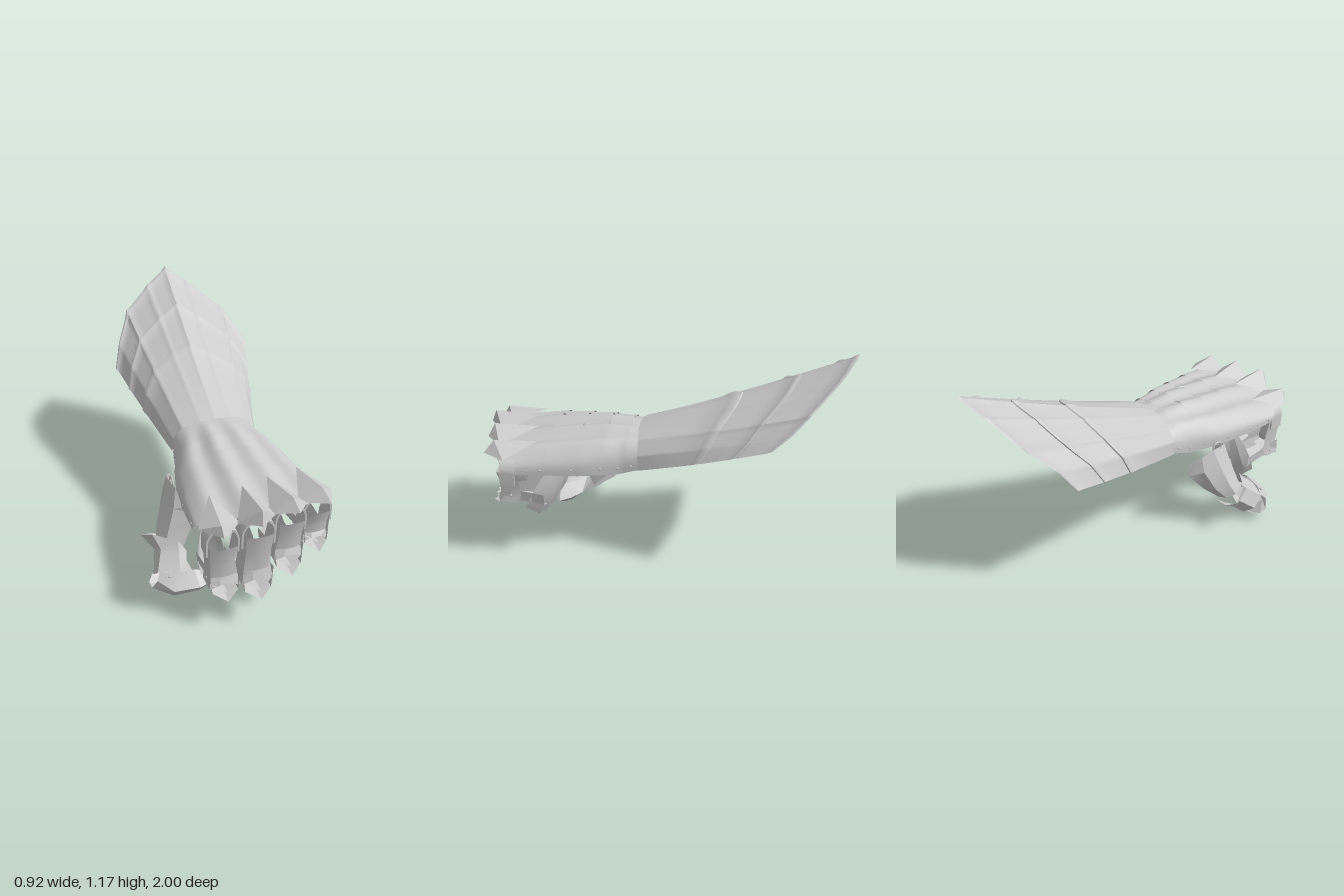
import * as THREE from 'three';
import { toCreasedNormals } from 'three/addons/utils/BufferGeometryUtils.js';

const steel = new THREE.MeshStandardMaterial({ color: 0xcccccc, side: THREE.DoubleSide });
const lerp = THREE.MathUtils.lerp;

function add(parent, name, geometry) {
  const mesh = new THREE.Mesh(geometry, steel);
  mesh.name = name;
  parent.add(mesh);
  return mesh;
}

// Skin a sheet over rows of [x, y, z] points
function loft(rows, crease = 0.4) {
  const n = rows[0].length, index = [];
  for (let r = 0; r < rows.length - 1; r++)
    for (let c = 0; c < n - 1; c++) {
      const a = r * n + c;
      index.push(a, a + n, a + 1, a + 1, a + n, a + n + 1);
    }
  const g = new THREE.BufferGeometry();
  g.setAttribute('position', new THREE.Float32BufferAttribute(rows.flat(2), 3));
  g.setIndex(index);
  g.computeVertexNormals();
  return toCreasedNormals(g, crease);
}

// Value of a piecewise linear curve given as [key, value] pairs
function curve(keys, t) {
  let i = 0;
  while (i < keys.length - 2 && t > keys[i + 1][0]) i++;
  const [a, va] = keys[i], [b, vb] = keys[i + 1];
  return lerp(va, vb, THREE.MathUtils.clamp((t - a) / (b - a), 0, 1));
}

function rivet(parent, x, y, z) {
  const m = add(parent, 'rivet', new THREE.SphereGeometry(0.007, 10, 6));
  m.position.set(x, y, z);
}

// Flared forearm cuff: three tiers with rolled hems and raised radial ribs
function makeCuff(group) {
  const wrist = [[-0.205, 0.535, 0.11], [-0.20, 0.61, 0.115], [-0.15, 0.675, 0.12], [-0.05, 0.705, 0.13],
    [0.03, 0.71, 0.135], [0.12, 0.705, 0.13], [0.20, 0.685, 0.12], [0.26, 0.62, 0.115], [0.275, 0.54, 0.11]];
  const rim = [[-0.355, 0.70, -0.62], [-0.315, 0.82, -0.70], [-0.23, 0.965, -0.84], [-0.08, 1.08, -0.93],
    [0.05, 1.16, -1.0], [0.17, 1.08, -0.93], [0.35, 0.945, -0.77], [0.41, 0.86, -0.68], [0.45, 0.79, -0.59]];
  const steps = [0, 0.49, 0.75, 1], sub = 12, rows = [];
  for (let k = 0; k < 3; k++)
    for (const q of [0, 0.3, 0.6, 0.84, 0.88, 0.92, 0.96, 0.99]) {
      const t = lerp(steps[k], steps[k + 1], q), row = [];
      const lift = q > 0.84 ? 0.01 * Math.sin((q - 0.84) / 0.15 * 2.3) : 0;
      for (let c = 0; c <= 8 * sub; c++) {
        const i = Math.min(7, Math.floor(c / sub)), f = c / sub - i;
        const at = a => [0, 1, 2].map(j => lerp(a[i][j], a[i + 1][j], f));
        const w = at(wrist), e = at(rim);
        const p = w.map((v, j) => lerp(v, e[j], t));
        const near = Math.abs(c / sub - Math.round(c / sub));
        const ribbed = c > 1.5 * sub && c < 6.5 * sub;
        const rib = ribbed ? 0.007 * t * Math.exp(-near * near * 90) : 0;
        const d = new THREE.Vector2(p[0] - 0.05, (p[1] - 0.4) * 0.8).normalize().multiplyScalar(lift + rib);
        row.push([p[0] + d.x, p[1] + d.y - 0.01 * Math.sin(Math.PI * t), p[2]]);
      }
      rows.push(row);
    }
  add(group, 'cuff', loft(rows, 0.7));
}

// Fluted arched section over the back of the hand
const leftEdge = [[0.1, 0.265], [0.2, 0.27], [0.4, 0.33], [0.6, 0.37], [0.85, 0.415]];
const rightEdge = [[0.1, -0.20], [0.2, -0.21], [0.4, -0.26], [0.6, -0.28], [0.85, -0.285]];
const crown = [[0.1, 0.695], [0.3, 0.705], [0.6, 0.68], [0.75, 0.655], [0.88, 0.635]];
const hem = [[0.1, 0.54], [0.22, 0.51], [0.5, 0.52], [0.85, 0.535]];
function handPoint(z, u, lift) {
  const a = (1 - u) * Math.PI / 2, c = Math.cos(a), s = Math.max(0, Math.sin(a));
  const xr = curve(rightEdge, z), xl = curve(leftEdge, z), yb = curve(hem, z);
  const k = Math.sign(c) * Math.pow(Math.abs(c), 0.8);
  const grow = Math.min(1, (z - 0.08) / 0.25);
  const ripple = -0.013 * Math.cos(4 * Math.PI * k) * grow * s;
  const sag = -0.05 * Math.max(0, -k - 0.3) * s * grow;
  return [(xr + xl) / 2 + k * ((xl - xr) / 2 + lift * 0.5),
    yb + (curve(crown, z) - yb) * Math.pow(s, 0.65) + ripple + sag + lift * s, z];
}
function makeHand(group) {
  const cuts = [0.10, 0.19, 0.31, 0.45, 0.60, 0.88];
  for (let k = 0; k < 5; k++) {
    const rows = [];
    for (let i = 0; i <= 6; i++) {
      const q = i / 6, row = [];
      for (let c = 0; c <= 56; c++) {
        const u = c / 28 - 1, end = cuts[k + 1] - (k === 4 ? 0.09 * u * u : 0);
        row.push(handPoint(lerp(cuts[k] - 0.012, end, q), u, k ? 0.01 * (1 - q) : 0));
      }
      rows.push(row);
    }
    add(group, 'handPlate', loft(rows, 0.6));
  }
  for (const z of [0.15, 0.22, 0.31, 0.46, 0.62, 0.77])
    for (const u of [-0.95, 0.95]) rivet(group, ...handPoint(z, u, 0.002));
}

// Spiked knuckle cap from back, right, front and left corners and a peak
function makeKnuckle(group, back, sideA, front, sideB, peak) {
  const ring = [back, sideA, front, sideB, back];
  add(group, 'knuckleSpike', loft([ring, ring.map(() => peak)], 0.1));
}

// Curled finger: hoop, upper plate, pointed middle plate and claw
function makeFinger(group, { x, x2, z, top, low, ridge, heel, w, hoopY }) {
  const finger = new THREE.Group();
  finger.name = 'finger';
  group.add(finger);

  const R = w + 0.015, leg = -0.07, arch = new THREE.Shape();
  arch.moveTo(R, leg).lineTo(R, 0).absarc(0, 0, R, 0, Math.PI, false).lineTo(-R, leg)
    .lineTo(0.01 - R, leg).lineTo(0.01 - R, 0).absarc(0, 0, R - 0.01, Math.PI, 0, true).lineTo(R - 0.01, leg);
  const hoop = add(finger, 'fingerHoop',
    toCreasedNormals(new THREE.ExtrudeGeometry(arch, { depth: 0.08, bevelEnabled: false, curveSegments: 14 }), 0.5));
  hoop.position.set(x, hoopY - R, z - 0.12);

  // Upper plate leans back towards the middle joint
  const section = (cx, y, s, dz) => [[-1.05, -0.11], [-1, -0.01], [-0.35, 0], [0.35, 0], [1, -0.01], [1.05, -0.11]]
    .map(([a, b]) => [cx + a * w * s, y, z + dz + b]);
  const upper = [section(x, top, 1, -0.01), section(x, lerp(top, low, 0.4), 0.9, -0.03),
    section(x2, lerp(top, low, 0.75), 0.98, -0.035), section(x2, low, 1.12, -0.02)];
  upper[3][2][1] += 0.025;
  upper[3][3][1] += 0.025;
  add(finger, 'upperPlate', loft(upper, 0.3));

  // Two nested guards under the finger, drawn out to a point in front
  const vee = (zz, s, dy, point = 0) => [[-1.1, 0.085], [-1, 0.022], [0, 0], [1, 0.022], [1.1, 0.085]]
    .map(([a, b]) => [x2 + a * w * s, ridge + dy + b, zz - point * Math.abs(a)]);
  add(finger, 'middlePlate',
    loft([vee(z + 0.03, 0.95, 0, 0.05), vee(z - 0.14, 0.85, 0.012), vee(z - 0.27, 1, 0)], 0.3));
  add(finger, 'jointGuard', loft([vee(z + 0.015, 1.08, 0.045, 0.05), vee(z - 0.09, 1.0, 0.04)], 0.3));

  // Leaf-shaped claw pointing up into the palm
  const tipY = heel * 0.4 + 0.46, zc = 0.67 + (z - 0.97) * 0.3;
  const leaf = (q, s, zz, d) => [[-1, 0.055], [-0.65, 0.01], [0, -0.025], [0.65, 0.01], [1, 0.055]]
    .map(([a, b]) => [x2 + a * w * s, lerp(heel, tipY, q) + Math.abs(a) * 0.07 * (1 - q), zc + zz + b * d]);
  add(finger, 'claw', loft([leaf(0, 0.95, 0.03, 0.7), leaf(0.2, 1.05, -0.01, 1), leaf(0.45, 0.9, -0.04, 1),
    leaf(0.75, 0.5, -0.065, 0.7), leaf(1, 0.01, -0.075, 0)], 0.3));
  for (const s of [-1, 1]) rivet(finger, x2 + s * w * 1.08, ridge + 0.07, z - 0.09);
}

// Thumb: broad base plate, flared joint and crescent claw
function makeThumb(group) {
  const thumb = new THREE.Group();
  thumb.name = 'thumb';
  group.add(thumb);
  add(thumb, 'thumbBase', loft([
    [[-0.24, 0.45, 0.19], [-0.275, 0.49, 0.26], [-0.29, 0.52, 0.33], [-0.27, 0.51, 0.42], [-0.20, 0.45, 0.50]],
    [[-0.24, 0.37, 0.195], [-0.30, 0.40, 0.26], [-0.325, 0.41, 0.36], [-0.29, 0.41, 0.46], [-0.18, 0.39, 0.51]],
    [[-0.28, 0.27, 0.28], [-0.34, 0.28, 0.32], [-0.37, 0.29, 0.40], [-0.33, 0.29, 0.49], [-0.23, 0.28, 0.52]],
    [[-0.31, 0.19, 0.37], [-0.36, 0.20, 0.39], [-0.385, 0.22, 0.44], [-0.35, 0.23, 0.51], [-0.26, 0.21, 0.53]],
  ], 0.3));
  add(thumb, 'thumbJoint', loft([
    [[-0.30, 0.17, 0.36], [-0.40, 0.19, 0.35], [-0.455, 0.22, 0.38], [-0.41, 0.28, 0.47], [-0.29, 0.27, 0.55], [-0.25, 0.20, 0.55]],
    [[-0.31, 0.12, 0.43], [-0.37, 0.13, 0.43], [-0.40, 0.17, 0.46], [-0.38, 0.22, 0.53], [-0.30, 0.22, 0.59], [-0.26, 0.17, 0.59]],
    [[-0.30, 0.05, 0.53], [-0.38, 0.05, 0.52], [-0.43, 0.09, 0.56], [-0.42, 0.15, 0.62], [-0.31, 0.16, 0.66], [-0.25, 0.16, 0.66]],
  ], 0.3));
  add(thumb, 'thumbClaw', loft([
    [[-0.41, 0.155, 0.62], [-0.43, 0.12, 0.65], [-0.455, 0.065, 0.63], [-0.46, 0.06, 0.58], [-0.43, 0.07, 0.53]],
    [[-0.35, 0.155, 0.66], [-0.36, 0.10, 0.73], [-0.36, 0.05, 0.70], [-0.35, 0.005, 0.59], [-0.35, 0.06, 0.52]],
    [[-0.24, 0.17, 0.67], [-0.23, 0.11, 0.745], [-0.23, 0.06, 0.71], [-0.23, 0.025, 0.62], [-0.24, 0.07, 0.56]],
    [[-0.15, 0.135, 0.67], [-0.15, 0.105, 0.71], [-0.15, 0.08, 0.69], [-0.15, 0.055, 0.64], [-0.15, 0.08, 0.61]],
    Array(5).fill([-0.08, 0.097, 0.66]),
  ], 0.3));
  rivet(thumb, -0.38, 0.255, 0.49);
  rivet(thumb, -0.37, 0.15, 0.665);
  const ring = add(thumb, 'thumbHinge', new THREE.TorusGeometry(0.028, 0.006, 6, 16));
  ring.position.set(-0.275, 0.52, 0.37);
  ring.rotation.y = Math.PI / 2;
}

export function createModel() {
  const group = new THREE.Group();
  group.name = 'gauntlet';
  makeCuff(group);
  makeHand(group);
  makeKnuckle(group, [-0.18, 0.66, 0.72], [-0.285, 0.605, 0.89], [-0.19, 0.61, 0.99], [-0.09, 0.62, 0.91], [-0.195, 0.66, 0.96]);
  makeKnuckle(group, [-0.02, 0.69, 0.73], [-0.105, 0.625, 0.92], [-0.01, 0.645, 1.0], [0.09, 0.63, 0.91], [-0.005, 0.715, 0.97]);
  makeKnuckle(group, [0.12, 0.69, 0.69], [0.055, 0.635, 0.91], [0.19, 0.645, 0.955], [0.26, 0.63, 0.87], [0.165, 0.715, 0.92]);
  makeKnuckle(group, [0.29, 0.685, 0.65], [0.22, 0.635, 0.86], [0.365, 0.635, 0.92], [0.42, 0.625, 0.80], [0.335, 0.70, 0.87]);
  const fingers = [
    { x: -0.17, x2: -0.16, z: 0.95, top: 0.50, low: 0.25, ridge: 0.21, heel: 0.115, w: 0.068, hoopY: 0.60 },
    { x: 0.00, x2: 0.00, z: 0.97, top: 0.55, low: 0.26, ridge: 0.20, heel: 0.12, w: 0.07, hoopY: 0.63 },
    { x: 0.18, x2: 0.175, z: 0.92, top: 0.55, low: 0.325, ridge: 0.265, heel: 0.18, w: 0.066, hoopY: 0.63 },
    { x: 0.34, x2: 0.335, z: 0.87, top: 0.54, low: 0.365, ridge: 0.335, heel: 0.26, w: 0.06, hoopY: 0.61 },
  ];
  fingers.forEach(f => makeFinger(group, f));
  makeThumb(group);
  return group;
}
